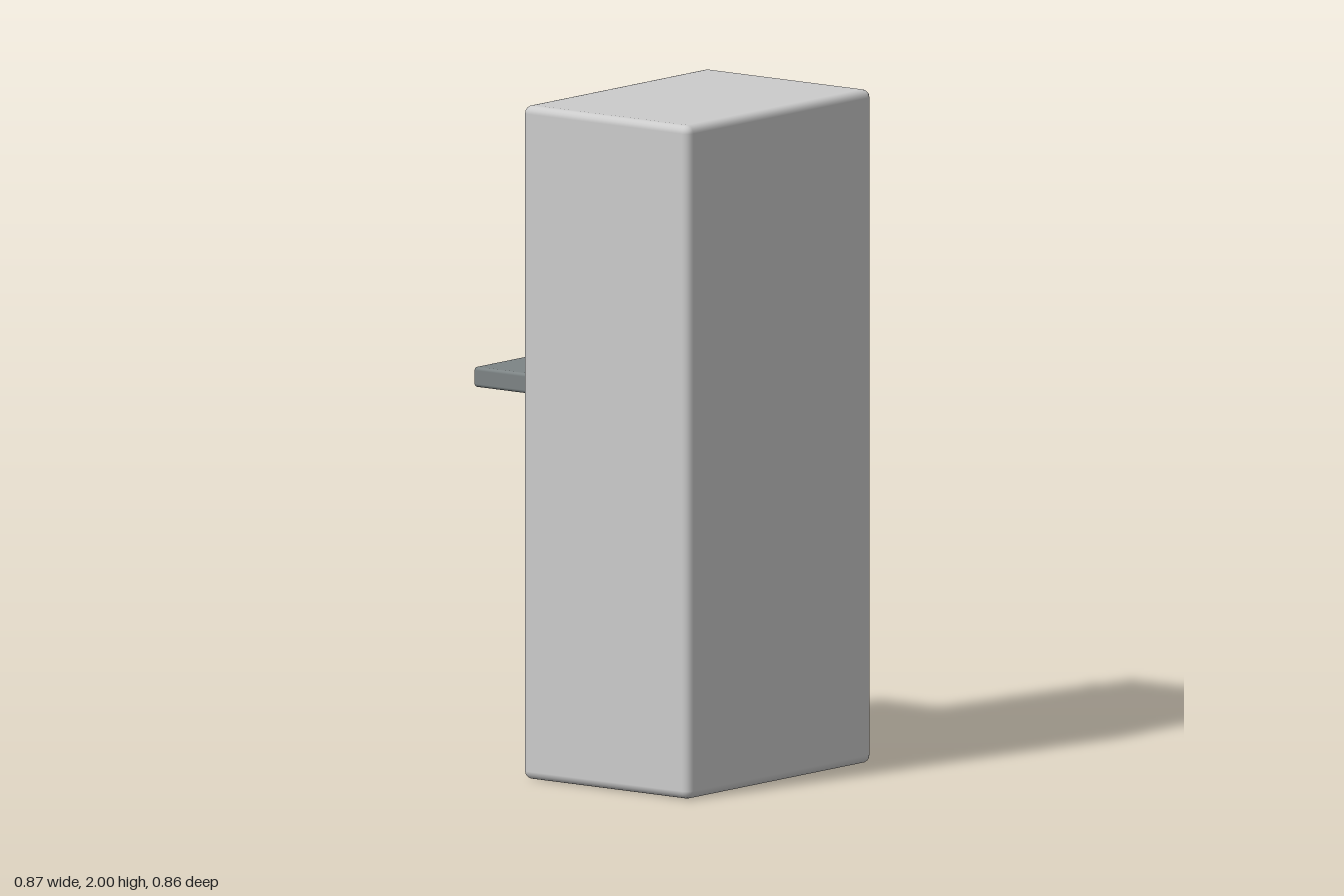
import * as THREE from 'three';
import { RoundedBoxGeometry } from 'three/addons/geometries/RoundedBoxGeometry.js';

const material = (color) => new THREE.MeshStandardMaterial({ color });

export function createModel() {
  const model = new THREE.Group();
  const grey = material(0xcccccc);
  const dark = material(0x64656a);
  const blue = material(0x78a6bd);
  const metal = material(0x7d8485);
  const keys = material(0x616769);

  // Box centred on x, spanning y0..y1 and z0..z1, with softened edges
  function block(name, width, [y0, y1], [z0, z1], radius, mat) {
    const geometry = radius
      ? new RoundedBoxGeometry(width, y1 - y0, z1 - z0, 2, radius)
      : new THREE.BoxGeometry(width, y1 - y0, z1 - z0);
    const mesh = new THREE.Mesh(geometry, mat);
    mesh.name = name;
    mesh.position.set(0, (y0 + y1) / 2, (z0 + z1) / 2);
    model.add(mesh);
  }

  // Cabinet
  block('cabinet', 0.87, [0, 2], [-0.193, 0.43], 0.024, grey);

  // Operating side, facing -z
  block('fasciaPanel', 0.774, [0.78, 1.92], [-0.206, -0.18], 0.006, dark);
  block('headerSign', 0.75, [1.855, 1.915], [-0.213, -0.19], 0, blue);
  block('screen', 0.45, [1.4, 1.755], [-0.221, -0.19], 0, blue);

  // Shelf with keypad, and slot below
  block('shelf', 0.724, [1.13, 1.19], [-0.432, -0.19], 0.01, metal);
  block('keypad', 0.25, [1.18, 1.205], [-0.395, -0.245], 0.003, keys);
  block('cashSlot', 0.3, [0.943, 0.99], [-0.225, -0.19], 0.003, metal);

  return model;
}
